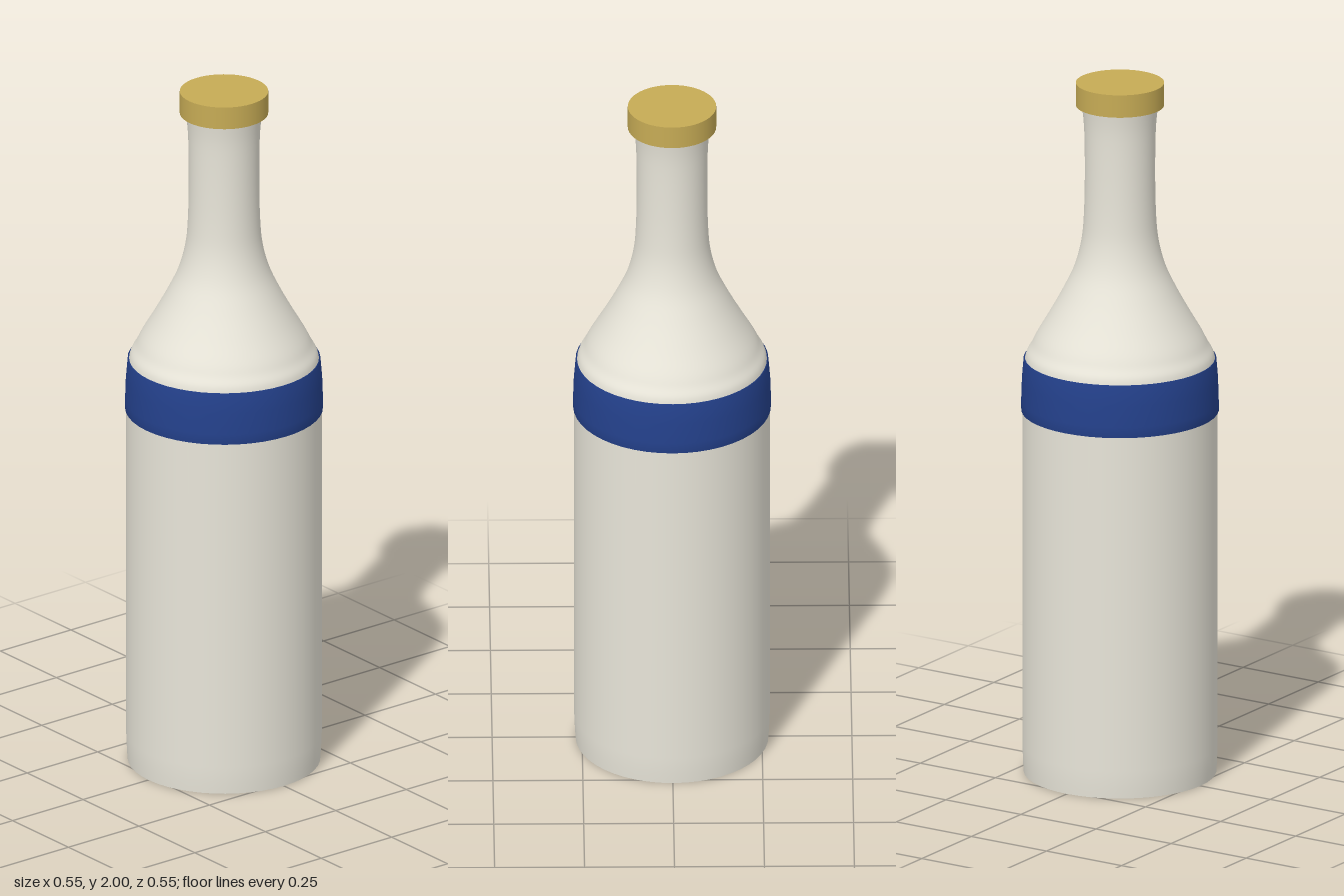
import * as THREE from 'three';

const SIDES = 48;
const CREAM = 0xe8e5d9, GOLD = 0xc6ab55, BLUE = 0x24418c, GREY = 0x8a8a88;
const v = (points) => points.map(([r, y]) => new THREE.Vector2(r, y));

export function createModel() {
  const bottle = new THREE.Group();
  bottle.name = 'bottle';

  const add = (name, geometry, color, y = 0) => {
    const material = new THREE.MeshStandardMaterial({ color, side: THREE.DoubleSide });
    const mesh = new THREE.Mesh(geometry, material);
    mesh.name = name;
    mesh.position.y = y;
    bottle.add(mesh);
  };
  const lathe = (points) => new THREE.LatheGeometry(points, SIDES);
  const disc = (inner, outer) =>
    new THREE.RingGeometry(inner, outer, SIDES).rotateX(Math.PI / 2);

  // Straight body below the band
  add('body', lathe(v([[0.268, 0], [0.27, 0.03], [0.272, 0.08], [0.272, 1.06]])), CREAM);

  // Painted band, drawing in slightly towards the shoulder
  add('band', lathe(v([[0.27, 1.05], [0.275, 1.05], [0.275, 1.08], [0.273, 1.14],
    [0.268, 1.2], [0.262, 1.2]])), BLUE);

  // Shoulder sweeping into a slender, slightly flared neck
  const neckCurve = new THREE.SplineCurve(v([[0.266, 1.19], [0.26, 1.215], [0.246, 1.24],
    [0.23, 1.272], [0.195, 1.332], [0.158, 1.4], [0.126, 1.47], [0.107, 1.545], [0.1, 1.63],
    [0.098, 1.75], [0.1, 1.87], [0.107, 1.94]]));
  add('shoulderAndNeck', lathe(neckCurve.getPoints(48)), CREAM);

  // Flat cap
  add('cap', new THREE.CylinderGeometry(0.123, 0.123, 0.065, SIDES), GOLD, 1.9675);

  // Underside: foot rim, recess wall, base plate and centre medallion
  add('footRim', disc(0.253, 0.268), CREAM);
  add('recessWall', lathe(v([[0.256, -0.0], [0.25, 0.02]])), GOLD);
  add('basePlate', disc(0.1, 0.25), GREY, 0.02);
  add('baseMedallion', disc(0.015, 0.1), GOLD, 0.02);
  add('baseCentre', new THREE.CircleGeometry(0.015, 24).rotateX(Math.PI / 2), GREY, 0.02);

  return bottle;
}
